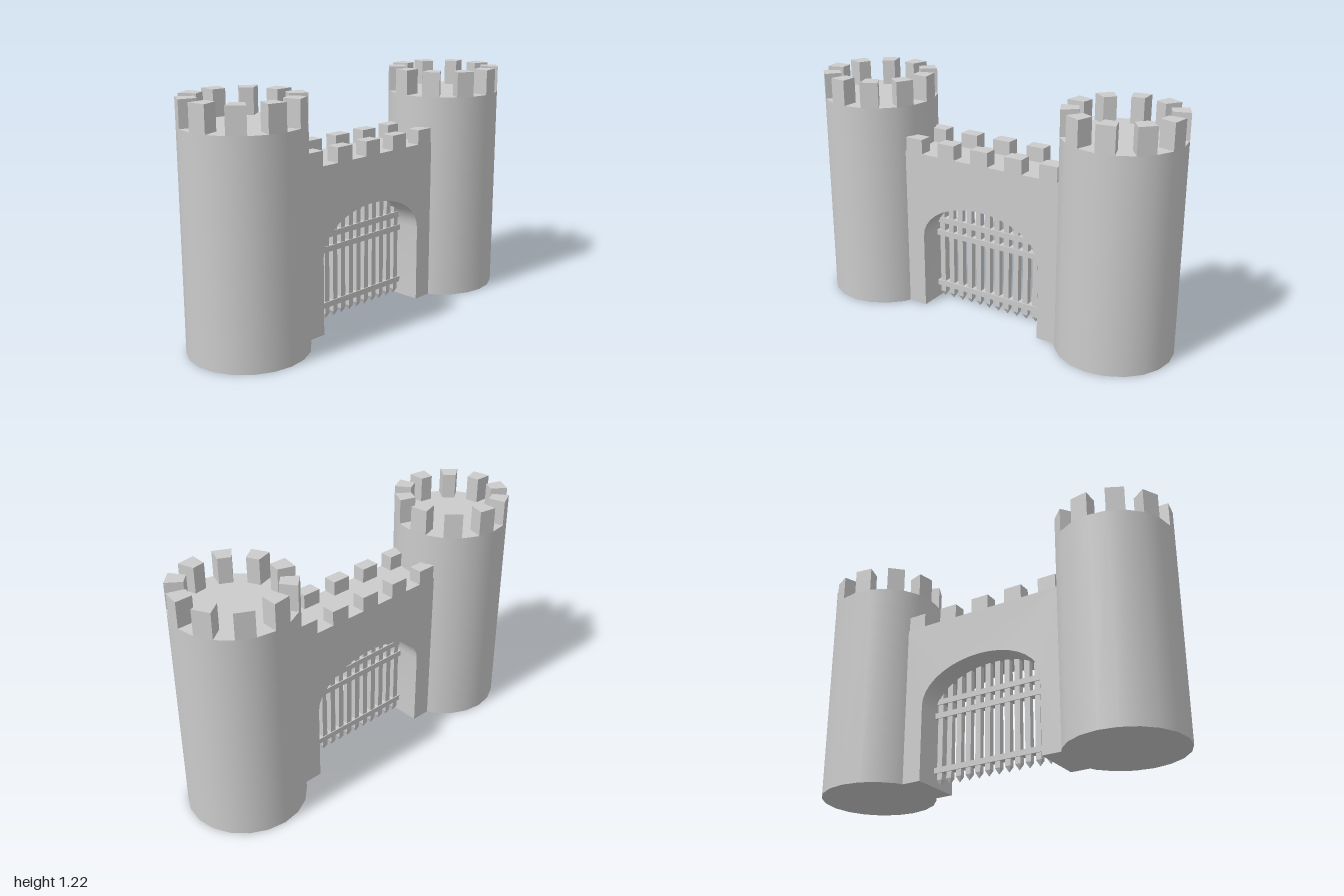
import * as THREE from 'three';
import { toCreasedNormals } from 'three/addons/utils/BufferGeometryUtils.js';

const material = new THREE.MeshStandardMaterial({ color: 0xcccccc });

const TOWER = { z: 0.705, radius: 0.296, inner: 0.21, height: 1.085, top: 1.215, sides: 20 };
const WALL = { halfLength: 0.46, halfDepth: 0.14, height: 0.85, top: 0.925 };
const ARCH = { halfWidth: 0.345, spring: 0.4, rise: 0.205 };

function add(parent, name, geometry, x = 0, y = 0, z = 0) {
  const mesh = new THREE.Mesh(geometry, material);
  mesh.name = name;
  mesh.position.set(x, y, z);
  parent.add(mesh);
  return mesh;
}

// Wedge-shaped battlement block covering one side of the tower's polygon
function towerMerlonGeometry(start, end) {
  const corner = (r, a) => new THREE.Vector2(r * Math.sin(a), -r * Math.cos(a));
  const { inner, radius } = TOWER;
  const shape = new THREE.Shape([
    corner(inner, start), corner(radius, start), corner(radius, end), corner(inner, end),
  ]);
  const geometry = new THREE.ExtrudeGeometry(shape, {
    depth: TOWER.top - TOWER.height, bevelEnabled: false,
  });
  return geometry.rotateX(-Math.PI / 2);
}

function createTower(name, z, firstSide) {
  const tower = new THREE.Group();
  tower.name = name;
  tower.position.z = z;
  const { radius, height, sides } = TOWER;
  add(tower, 'towerBody', new THREE.CylinderGeometry(radius, radius, height, sides), 0, height / 2);
  const step = (2 * Math.PI) / sides;
  for (let i = firstSide; i < sides; i += 2) {
    add(tower, 'towerMerlon', towerMerlonGeometry(i * step, (i + 1) * step), 0, height, 0);
  }
  return tower;
}

// Wall with an elliptical archway, and a row of merlons along both edges
function createWall() {
  const wall = new THREE.Group();
  wall.name = 'gateWall';
  const { halfLength, halfDepth, height, top } = WALL;
  const { halfWidth, spring, rise } = ARCH;

  const shape = new THREE.Shape();
  shape.moveTo(-halfLength, 0);
  shape.lineTo(-halfWidth, 0);
  const segments = 18;
  for (let i = 0; i <= segments; i++) {
    const a = Math.PI * (1 - i / segments);
    shape.lineTo(halfWidth * Math.cos(a), spring + rise * Math.sin(a));
  }
  shape.lineTo(halfWidth, 0);
  shape.lineTo(halfLength, 0);
  shape.lineTo(halfLength, height);
  shape.lineTo(-halfLength, height);
  const body = new THREE.ExtrudeGeometry(shape, { depth: 2 * halfDepth, bevelEnabled: false });
  body.translate(0, 0, -halfDepth).rotateY(-Math.PI / 2);
  add(wall, 'archedWall', toCreasedNormals(body, 0.6));

  const merlon = new THREE.BoxGeometry(0.07, top - height, 0.098);
  for (const side of [-1, 1]) {
    for (let i = -2; i <= 2; i++) {
      add(wall, 'wallMerlon', merlon, side * (halfDepth - 0.035), (height + top) / 2, i * 0.196);
    }
  }
  return wall;
}

// Portcullis: spiked uprights tied by three rails
function createPortcullis() {
  const gate = new THREE.Group();
  gate.name = 'portcullis';
  const count = 12, spacing = 0.0573, width = 0.03, tip = 0.03;
  const spike = new THREE.ConeGeometry(width / Math.SQRT2, tip, 4, 1).toNonIndexed();
  spike.rotateY(Math.PI / 4).rotateX(Math.PI);
  spike.computeVertexNormals();
  for (let i = 0; i < count; i++) {
    const z = (i - (count - 1) / 2) * spacing;
    const archTop = ARCH.spring + ARCH.rise * Math.sqrt(1 - (z / ARCH.halfWidth) ** 2);
    const bottom = 0.005 + tip;
    const length = archTop + 0.02 - bottom;
    add(gate, 'bar', new THREE.BoxGeometry(width, length, width), 0, bottom + length / 2, z);
    add(gate, 'barSpike', spike, 0, bottom - tip / 2, z);
  }
  const rail = new THREE.BoxGeometry(0.04, 0.03, 2 * ARCH.halfWidth);
  for (const y of [0.085, 0.38, 0.455]) add(gate, 'rail', rail, 0, y, 0);
  return gate;
}

export function createModel() {
  const model = new THREE.Group();
  model.name = 'castleGate';
  model.add(
    createTower('frontTower', TOWER.z, 0),
    createTower('backTower', -TOWER.z, 1),
    createWall(),
    createPortcullis(),
  );
  return model;
}
